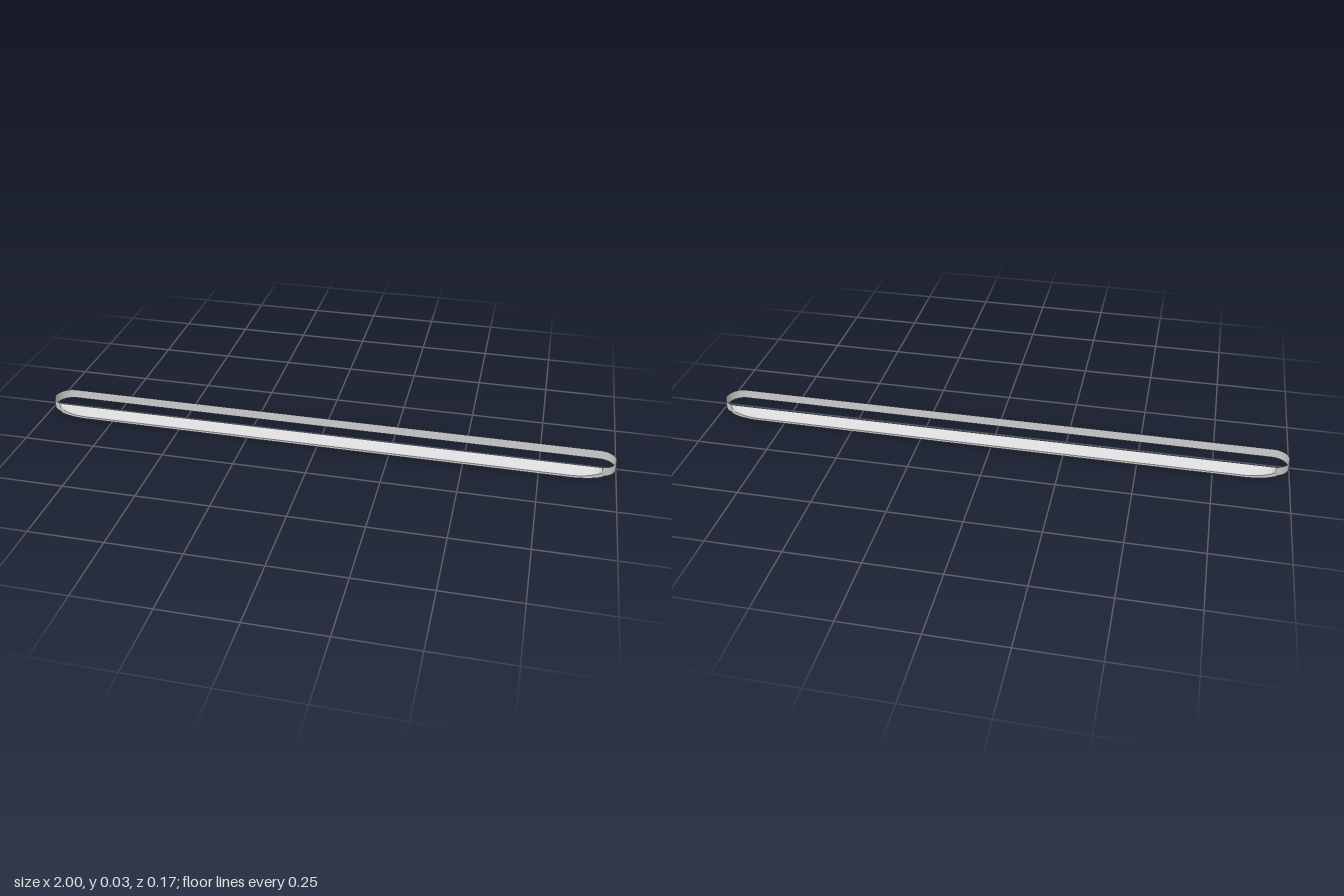
import * as THREE from 'three';

const H = 0.033;      // band height
const R = 0.053;      // half width of the band
const FLARE = 0.03;   // how far the skirts stand out
const TIP = 0.965;    // where the skirts meet the band

// half width of the band at a given x (round ends)
function bandHalfWidth(x) {
  const d = Math.max(0, Math.abs(x) - (1 - R));
  return Math.sqrt(Math.max(0, R * R - d * d));
}

// open upright band with a long straight run and round ends
function bandGeometry() {
  const outline = [];
  for (const side of [1, -1]) {
    for (let i = 0; i <= 24; i++) {
      const a = side * Math.PI / 2 - Math.PI * i / 24 - (side > 0 ? 0 : Math.PI * 2);
      outline.push([side * (1 - R) + R * Math.cos(a), R * Math.sin(a)]);
    }
  }
  outline.push(outline[0]);
  const pos = [], idx = [];
  outline.forEach(([x, z], i) => {
    pos.push(x, 0, z, x, H, z);
    if (i > 0) {
      const a = 2 * (i - 1);
      idx.push(a, a + 1, a + 2, a + 1, a + 3, a + 2);
    }
  });
  const g = new THREE.BufferGeometry();
  g.setAttribute('position', new THREE.Float32BufferAttribute(pos, 3));
  g.setIndex(idx);
  g.computeVertexNormals();
  return g;
}

// sloping skirt lofted along x, blending into the band at both tips
function skirtGeometry() {
  const half = [];
  for (let i = 0; i <= 10; i++) half.push(0.85 + (TIP - 0.85) * i / 10);
  const stations = [...half.map(x => -x).reverse(), ...half];
  const rings = stations.map(x => {
    const u = Math.min(1, Math.max(0, (Math.abs(x) - 0.85) / (TIP - 0.85)));
    const f = Math.pow(1 - u * u, 0.8);
    const w = bandHalfWidth(x);
    const out = w + FLARE * f;
    const lip = 0.008 * f + 0.02 * (1 - f);
    return [[x, H, w], [x, lip, out], [x, 0, out], [x, 0, w]];
  });
  const pos = [];
  for (let i = 0; i + 1 < rings.length; i++) {
    for (let k = 0; k < 3; k++) {
      const a = rings[i][k], b = rings[i][k + 1];
      const c = rings[i + 1][k + 1], d = rings[i + 1][k];
      pos.push(...a, ...b, ...c, ...a, ...c, ...d);
    }
  }
  const g = new THREE.BufferGeometry();
  g.setAttribute('position', new THREE.Float32BufferAttribute(pos, 3));
  g.computeVertexNormals();
  return g;
}

export function createModel() {
  const group = new THREE.Group();
  group.name = 'skirtedBand';
  const smooth = new THREE.MeshStandardMaterial({ color: 0xcccccc, side: THREE.DoubleSide });
  const flat = new THREE.MeshStandardMaterial({ color: 0xcccccc, side: THREE.DoubleSide, flatShading: true });

  const band = new THREE.Mesh(bandGeometry(), smooth);
  band.name = 'band';
  group.add(band);

  // front skirt and its twin at the back
  const skirt = skirtGeometry();
  ['frontSkirt', 'backSkirt'].forEach((name, i) => {
    const mesh = new THREE.Mesh(skirt, flat);
    mesh.name = name;
    mesh.rotation.y = i * Math.PI;
    group.add(mesh);
  });
  return group;
}
